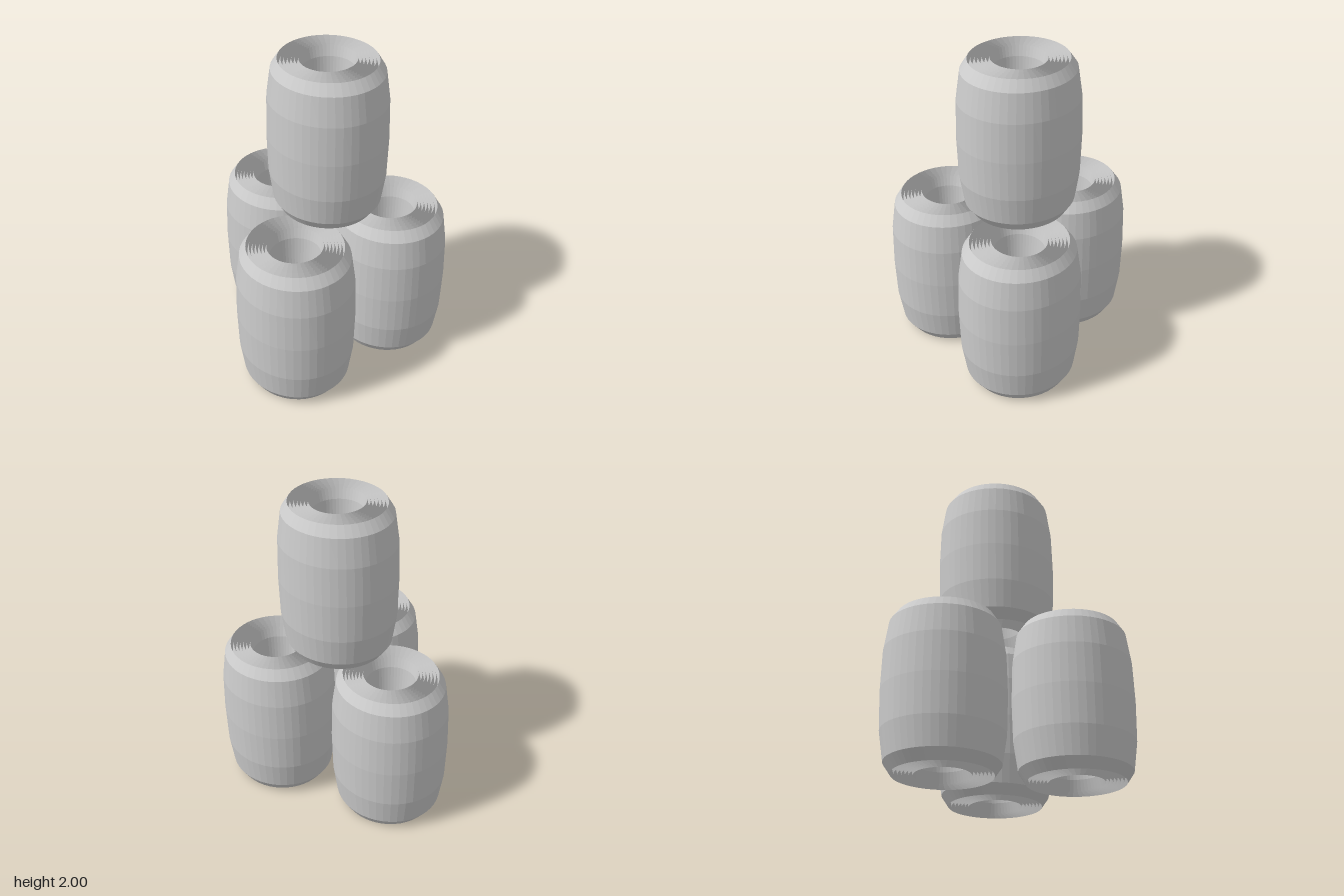
import * as THREE from 'three';

const HALF = 0.495; // half the height of one roll
const GROOVES = 6;
const OUTER_RIM = 0.292, INNER_RIM = 0.172;

// Closed cross-section: bulging outer wall, grooved ends, narrowing hole
function rollProfile() {
  const outer = [[OUTER_RIM, -HALF], [0.331, -0.43], [0.354, -0.25], [0.36, 0],
    [0.354, 0.25], [0.331, 0.43], [OUTER_RIM, HALF]];
  const hole = [[INNER_RIM, HALF], [0.155, 0.43], [0.14, 0.25], [0.134, 0],
    [0.14, -0.25], [0.155, -0.43], [INNER_RIM, -HALF]];
  const grooves = [];
  for (let i = 1; i < GROOVES * 2; i++) {
    const r = THREE.MathUtils.lerp(OUTER_RIM, INNER_RIM, i / (GROOVES * 2));
    grooves.push([r, i % 2 ? HALF - 0.04 : HALF]);
  }
  const bottom = grooves.map(([r, y]) => [r, -y]).reverse();
  return [...outer, ...grooves, ...hole, ...bottom, outer[0]]
    .map(([r, y]) => new THREE.Vector2(r, y));
}

// Lathe the section, then make the outer layers slightly oval
function rollGeometry() {
  const geo = new THREE.LatheGeometry(rollProfile(), 48);
  const pos = geo.attributes.position;
  for (let i = 0; i < pos.count; i++) {
    const r = Math.hypot(pos.getX(i), pos.getZ(i));
    pos.setZ(i, pos.getZ(i) * (0.887 + 0.508 * r));
  }
  geo.computeVertexNormals();
  return geo;
}

export function createModel() {
  const group = new THREE.Group();
  group.name = 'stackedRolls';
  const material = new THREE.MeshStandardMaterial({ color: 0xcccccc, flatShading: true });
  const geometry = rollGeometry();

  // Three rolls standing in a triangle, a fourth on top of them
  const rolls = [
    ['frontRightRoll', -0.365, 0.505, 0.355],
    ['frontLeftRoll', 0.363, 0.51, 0.327],
    ['backRoll', -0.02, 0.5, -0.36],
    ['topRoll', 0.046, 1.505, 0.09],
  ];
  for (const [name, x, y, z] of rolls) {
    const roll = new THREE.Mesh(geometry, material);
    roll.name = name;
    roll.position.set(x, y, z);
    group.add(roll);
  }
  return group;
}
